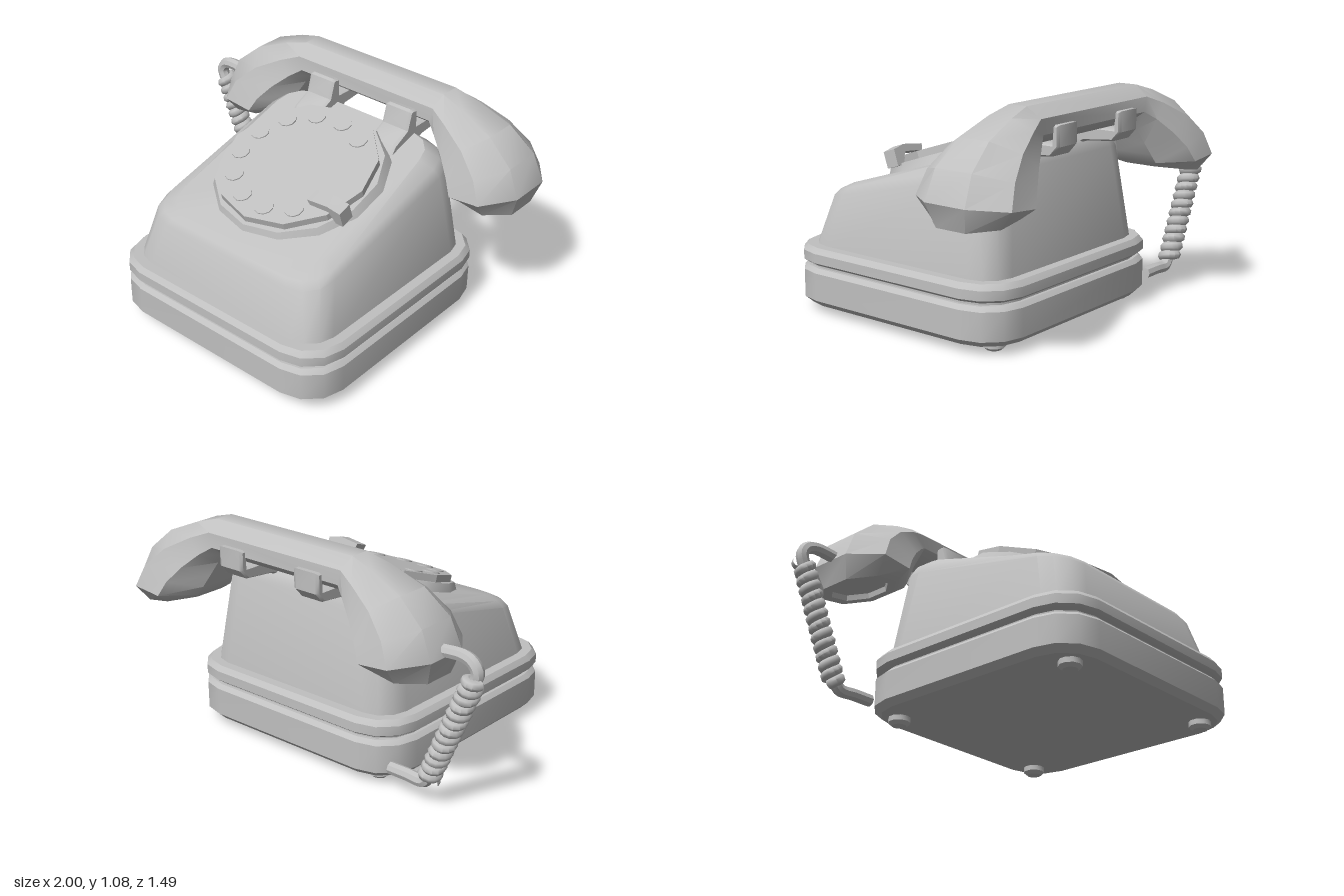
import * as THREE from 'three';
import { toCreasedNormals } from 'three/addons/utils/BufferGeometryUtils.js';

const grey = new THREE.MeshStandardMaterial({ color: 0xc0c0c0 });
grey.name = 'plain grey';

function add(parent, name, geometry, x = 0, y = 0, z = 0, crease = 0.65) {
  const mesh = new THREE.Mesh(toCreasedNormals(geometry, crease), grey);
  mesh.name = name;
  mesh.position.set(x, y, z);
  parent.add(mesh);
  return mesh;
}

// Skin a list of equal-length rings and close both ends.
function loft(rings) {
  const n = rings[0].length;
  const pos = [];
  const index = [];
  rings.forEach(r => r.forEach(p => pos.push(...p)));
  for (let i = 0; i < rings.length - 1; i++) {
    for (let j = 0; j < n; j++) {
      const a = i * n + j, b = i * n + (j + 1) % n;
      index.push(a, b, b + n, a, b + n, a + n);
    }
  }
  const last = (rings.length - 1) * n;
  for (let j = 1; j < n - 1; j++) {
    index.push(0, j + 1, j, last, last + j, last + j + 1);
  }
  const g = new THREE.BufferGeometry();
  g.setAttribute('position', new THREE.Float32BufferAttribute(pos, 3));
  g.setIndex(index);
  return g;
}

// Rounded rectangle ring; yFront and yBack tilt it along z.
const CX = 0.11;
function ring(hx, zBack, zFront, r, yFront, yBack = yFront, segs = 3) {
  const pts = [];
  const cz = (zBack + zFront) / 2, hz = (zFront - zBack) / 2;
  for (let q = 0; q < 4; q++) {
    const sx = q === 0 || q === 3 ? 1 : -1, sz = q < 2 ? -1 : 1;
    for (let k = 0; k <= segs; k++) {
      const a = (q + k / segs) * Math.PI / 2;
      const z = cz + sz * (hz - r) - r * Math.sin(a);
      const t = (z - zBack) / (zFront - zBack);
      pts.push([CX + sx * (hx - r) + r * Math.cos(a), yBack + (yFront - yBack) * t, z]);
    }
  }
  return pts;
}

function slab(levels) {
  return loft(levels.map(([inset, y]) =>
    ring(0.645 - inset, -0.545 + inset, 0.745 - inset, 0.2 - inset * 0.6, y)));
}

// Handset: octagonal sections from the middle to one end, mirrored.
function handset() {
  const half = [ // inner u, y, outer u, y, half depth
    [0.38, 0.91, 0.42, 1.08, 0.115],
    [0.41, 0.87, 0.54, 1.045, 0.15],
    [0.45, 0.80, 0.71, 0.975, 0.195],
    [0.485, 0.74, 0.84, 0.865, 0.235],
    [0.515, 0.695, 0.897, 0.73, 0.258],
    [0.55, 0.67, 0.86, 0.62, 0.19],
    [0.59, 0.664, 0.82, 0.627, 0.145],
    [0.595, 0.69, 0.825, 0.653, 0.14]
  ];
  const section = ([ui, yi, uo, yo, hz], side) => {
    const pts = [];
    const k = 1 / Math.cos(Math.PI / 8);
    for (let j = 0; j < 8; j++) {
      const a = (j + 0.5) * Math.PI / 4;
      const c = k * Math.cos(a) / 2;
      pts.push([
        0.1 + side * ((ui + uo) / 2 + (uo - ui) * c),
        (yi + yo) / 2 + (yo - yi) * c,
        -0.485 + hz * k * Math.sin(a)
      ]);
    }
    return pts;
  };
  return loft([
    ...half.slice().reverse().map(s => section(s, -1)),
    ...half.map(s => section(s, 1))
  ]);
}

const v = (x, y, z) => new THREE.Vector3(x, y, z);

export function createModel() {
  const model = new THREE.Group();
  model.name = 'rotaryTelephone';

  // Base tray, groove and lip
  add(model, 'baseTray', slab([[0.03, 0.04], [0, 0.07], [0, 0.205], [0.02, 0.225]]));
  add(model, 'baseGroove', slab([[0.035, 0.2], [0.035, 0.26]]));
  add(model, 'baseLip', slab([[0.02, 0.24], [0, 0.255], [0, 0.3], [0.02, 0.325]]));
  for (const x of [-0.375, 0.595]) {
    for (const z of [0.615, -0.415]) {
      const profile = [[0, 0], [0.035, 0], [0.053, 0.015], [0.053, 0.05], [0, 0.05]];
      add(model, 'foot', new THREE.LatheGeometry(profile.map(p => new THREE.Vector2(...p)), 10), x, 0, z);
    }
  }

  // Tapered body with a sloping top
  add(model, 'body', loft([
    ring(0.58, -0.48, 0.68, 0.14, 0.31),
    ring(0.525, -0.43, 0.62, 0.15, 0.54, 0.78),
    ring(0.5, -0.41, 0.6, 0.15, 0.57, 0.83),
    ring(0.44, -0.36, 0.56, 0.13, 0.595, 0.872)
  ]));

  // Dial, tilted to the slope
  const dial = new THREE.Group();
  dial.name = 'dial';
  dial.position.set(CX, 0.745, 0.1);
  dial.rotation.x = 0.32;
  model.add(dial);
  add(dial, 'dialBezel', new THREE.CylinderGeometry(0.405, 0.43, 0.05, 14), 0, 0.005, 0);
  add(dial, 'dialDisc', new THREE.CylinderGeometry(0.385, 0.385, 0.035, 12), 0, 0.047, 0, 0.4);
  for (let i = 0; i < 10; i++) {
    const a = THREE.MathUtils.degToRad(55 + i * 28);
    add(dial, 'fingerSpot', new THREE.CylinderGeometry(0.045, 0.045, 0.006, 10),
      0.3 * Math.cos(a), 0.067, -0.3 * Math.sin(a));
  }
  const stop = new THREE.Shape([[0.41, 0.02], [0.41, 0.1], [0.34, 0.115], [0.22, 0.1],
    [0.23, 0.07], [0.34, 0.08], [0.37, 0.02]].map(p => new THREE.Vector2(...p)));
  add(dial, 'fingerStop', new THREE.ExtrudeGeometry(stop, { depth: 0.07, bevelEnabled: false }), 0, 0, 0.115);

  // Cradle forks
  const fork = new THREE.Shape([[-0.18, 0.80], [-0.22, 0.855], [-0.31, 0.9], [-0.335, 0.985],
    [-0.345, 0.99], [-0.37, 0.985], [-0.373, 0.9], [-0.595, 0.9], [-0.598, 0.985], [-0.615, 0.985],
    [-0.615, 0.9], [-0.58, 0.86], [-0.42, 0.845], [-0.35, 0.8]].map(p => new THREE.Vector2(-p[0], p[1])));
  for (const x of [-0.125, 0.345]) {
    const g = new THREE.ExtrudeGeometry(fork,
      { depth: 0.12, bevelThickness: 0.015, bevelSize: 0.008, bevelSegments: 1 });
    g.translate(0, 0, -0.06).rotateY(Math.PI / 2);
    add(model, 'cradleFork', g, x);
  }

  add(model, 'handset', handset());

  // Cord: plain ends and a coiled middle
  const tube = (name, points) => add(model, name, new THREE.TubeGeometry(
    new THREE.CatmullRomCurve3(points), 16, 0.03, 8));
  tube('cordLowerEnd', [v(-0.5, 0.11, -0.49), v(-0.6, 0.11, -0.49), v(-0.69, 0.11, -0.49), v(-0.725, 0.16, -0.49)]);
  tube('cordUpperEnd', [v(-0.94, 0.64, -0.49), v(-0.962, 0.7, -0.49), v(-0.94, 0.74, -0.49),
    v(-0.89, 0.757, -0.485), v(-0.76, 0.75, -0.48)]);
  const start = v(-0.715, 0.13, -0.495), end = v(-0.95, 0.67, -0.495);
  const axis = end.clone().sub(start).normalize();
  const side = v(0, 0, 1).cross(axis);
  const coil = [];
  const turns = 13;
  for (let i = 0; i <= turns * 12; i++) {
    const a = i / 12 * Math.PI * 2;
    coil.push(start.clone().lerp(end, i / (turns * 12))
      .addScaledVector(side, 0.032 * Math.cos(a))
      .add(v(0, 0, 0.032 * Math.sin(a))));
  }
  add(model, 'cordCoil', new THREE.TubeGeometry(new THREE.CatmullRomCurve3(coil), turns * 12, 0.025, 7), 0, 0, 0, 1);

  return model;
}
